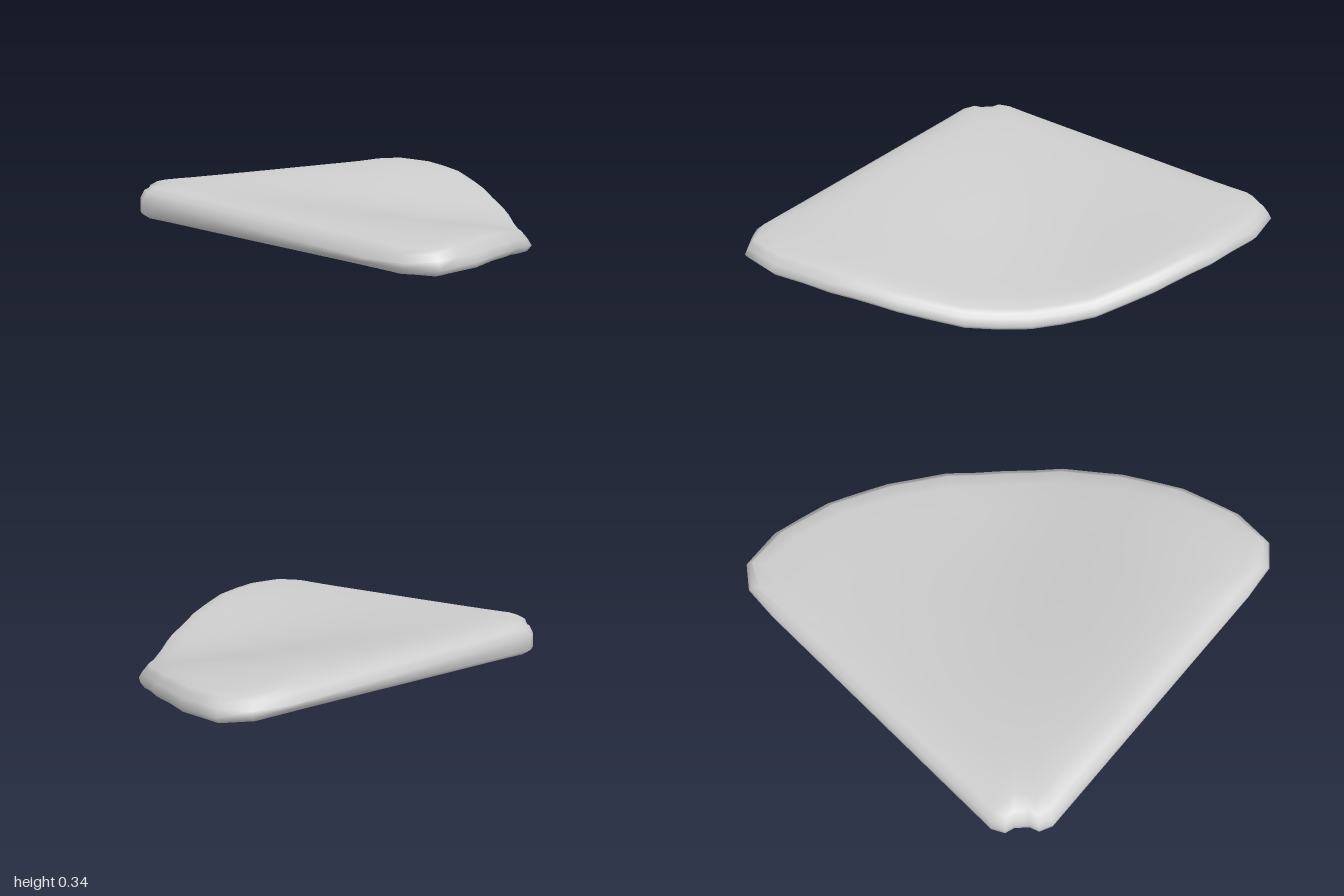
import * as THREE from 'three';

// Corner of the quarter disc and its radius
const CX = -1, CZ = 1, R = 2.03;
// Hub towards which the outline shrinks
const HX = -0.25, HZ = 0.25;

// Half of the outline, mirrored across the diagonal: (x, z) -> (-z, -x)
const half = [
  [-0.9, 0.9], [-0.875, 0.925], [-0.86, 0.97], [-0.8, 1], [0.68, 0.98], [0.87, 0.965],
  [0.98, 0.88], [1, 0.67], [0.93, 0.37], [0.8, 0.07], [0.64, -0.2], [0.43, -0.43],
];

function outline() {
  const corners = [...half, ...half.slice(1, -1).reverse().map(([x, z]) => [-z, -x])];
  const pts = [];
  corners.forEach(([x, z], i) => {
    const [nx, nz] = corners[(i + 1) % corners.length];
    const n = Math.max(1, Math.round(Math.hypot(nx - x, nz - z) / 0.13));
    for (let k = 0; k < n; k++) pts.push([x + (nx - x) * k / n, z + (nz - z) * k / n]);
  });
  return pts;
}

// Valley along the diagonal: broad near the corner, narrower and deeper at the arc
function heights(x, z) {
  const dx = Math.max(0, x - CX), dz = Math.max(0, CZ - z);
  const f = Math.min(1, Math.hypot(dx, dz) / R);
  const across = Math.pow(Math.sin(2 * Math.atan2(dz, dx)), 1.5 + 2.5 * f * f);
  const sag = 0.165 * THREE.MathUtils.smoothstep(f, 0.13, 1) * across;
  return { f, top: 0.35 - 0.07 * f - sag, bottom: 0.165 - sag };
}

function slabGeometry() {
  const loop = outline(), n = loop.length;
  const pos = [], index = [];

  // Ray from the hub to each outline point, and how far an inset moves along it
  const rays = loop.map(([x, z], i) => {
    const a = loop[(i + n - 1) % n], b = loop[(i + 1) % n];
    const tx = b[0] - a[0], tz = b[1] - a[1];
    const dx = x - HX, dz = z - HZ, len = Math.hypot(dx, dz);
    const cos = Math.abs(dx * tz - dz * tx) / (len * Math.hypot(tx, tz));
    const w = THREE.MathUtils.smoothstep(heights(x, z).f, 0.85, 1);
    return { dx: dx / len, dz: dz / len, len, w, stretch: Math.min(1.8, 1 / cos) };
  });

  // Ring inset from the edge, then scaled to the hub; pairs are [straight side, arc]
  const ring = (inset, scale, side, offset) => {
    for (const p of rays) {
      const d = THREE.MathUtils.lerp(inset[0], inset[1], p.w);
      const l = (p.len - d * p.stretch) * scale;
      const x = HX + p.dx * l, z = HZ + p.dz * l;
      pos.push(x, heights(x, z)[side] + THREE.MathUtils.lerp(offset[0], offset[1], p.w), z);
    }
  };

  const inner = [0.12, 0.25, 0.4, 0.55, 0.7, 0.85, 1];
  // Underside
  for (const s of inner) ring([0.13, 0.12], s, 'bottom', [0, 0]);
  ring([0.08, 0.05], 1, 'bottom', [0.003, 0]);
  ring([0.03, 0.018], 1, 'bottom', [0.014, 0.01]);
  // Rounded rim, bluffer on the straight sides than on the arc
  ring([0, 0], 1, 'bottom', [0.037, 0.035]);
  ring([0.002, 0.018], 1, 'top', [-0.075, -0.05]);
  ring([0.022, 0.035], 1, 'top', [-0.036, -0.03]);
  ring([0.06, 0.05], 1, 'top', [-0.015, -0.012]);
  // Upper face
  ring([0.13, 0.12], 1, 'top', [-0.004, -0.002]);
  for (const s of inner.slice(0, -1).reverse()) ring([0.13, 0.12], s, 'top', [0, 0]);

  const rings = pos.length / 3 / n;
  for (let r = 0; r < rings - 1; r++) {
    for (let i = 0; i < n; i++) {
      const j = (i + 1) % n;
      const a = r * n + i, b = r * n + j, c = a + n, d = b + n;
      index.push(a, b, d, a, d, c);
    }
  }
  // Close both faces at the hub
  const hub = heights(HX, HZ), low = pos.length / 3, high = low + 1;
  pos.push(HX, hub.bottom, HZ, HX, hub.top, HZ);
  for (let i = 0; i < n; i++) {
    const j = (i + 1) % n, last = (rings - 1) * n;
    index.push(low, j, i, high, last + i, last + j);
  }

  const geo = new THREE.BufferGeometry();
  geo.setAttribute('position', new THREE.Float32BufferAttribute(pos, 3));
  geo.setIndex(index);
  geo.computeVertexNormals();
  return geo;
}

export function createModel() {
  const group = new THREE.Group();
  group.name = 'curvedQuarterSlab';
  const grey = new THREE.MeshStandardMaterial({ color: 0xcccccc });
  grey.name = 'light grey';
  const slab = new THREE.Mesh(slabGeometry(), grey);
  slab.name = 'slab';
  group.add(slab);
  return group;
}
